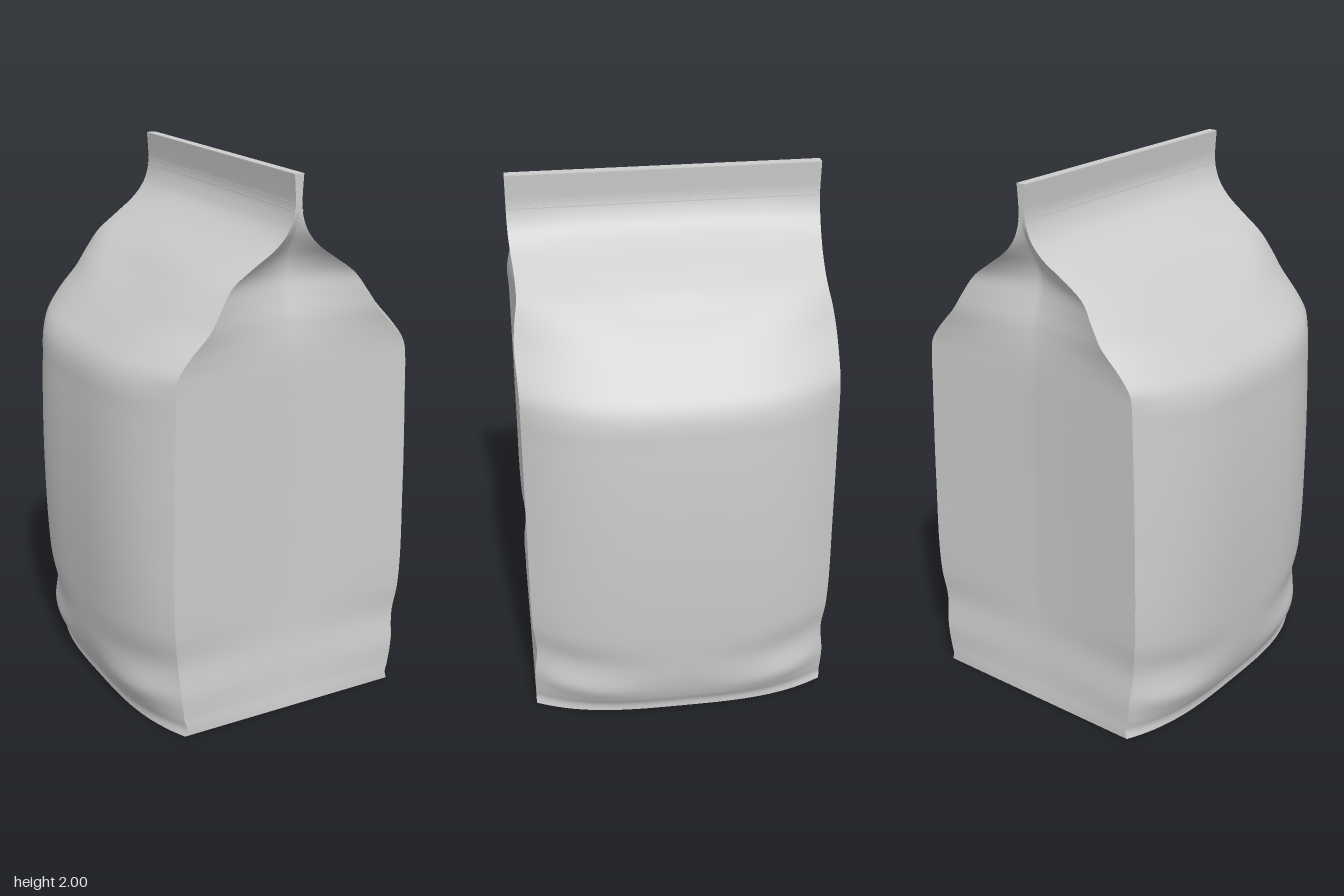
import * as THREE from 'three';

// Height, half width at mid side, half width at corners, half depth, gusset tuck
const PROFILE = [
  [0.00, 0.530, 0.440, 0.560, 0.000],
  [0.03, 0.532, 0.432, 0.561, 0.004],
  [0.06, 0.548, 0.440, 0.560, 0.007],
  [0.15, 0.574, 0.452, 0.561, 0.015],
  [0.28, 0.590, 0.460, 0.549, 0.016],
  [0.40, 0.600, 0.474, 0.559, 0.030],
  [0.80, 0.615, 0.475, 0.561, 0.034],
  [1.20, 0.604, 0.464, 0.560, 0.034],
  [1.31, 0.592, 0.460, 0.560, 0.035],
  [1.36, 0.568, 0.452, 0.560, 0.037],
  [1.42, 0.515, 0.410, 0.562, 0.044],
  [1.50, 0.442, 0.335, 0.565, 0.060],
  [1.57, 0.382, 0.290, 0.558, 0.072],
  [1.64, 0.303, 0.240, 0.546, 0.074],
  [1.70, 0.202, 0.158, 0.548, 0.066],
  [1.75, 0.118, 0.087, 0.555, 0.048],
  [1.80, 0.054, 0.042, 0.559, 0.022],
  [1.85, 0.024, 0.020, 0.560, 0.005],
  [1.89, 0.013, 0.013, 0.560, 0.000],
  [1.94, 0.014, 0.014, 0.560, 0.000],
  [2.00, 0.018, 0.018, 0.560, 0.000],
];
const ROWS = 140, COLS = 40;
const curve = new THREE.CubicInterpolant(
  PROFILE.map(p => p[0]), PROFILE.flatMap(p => p.slice(1)), 4, new Float32Array(4));
const bell = (v, centre, width) => Math.exp(-(((v - centre) / width) ** 2));

// Bulging side panel with a sagging shoulder and soft creases near the base corners
function sidePoint(u, y) {
  const [w, c, d] = curve.evaluate(y);
  const fade = 1 - u * u;
  let x = c + (w - c) * (1 - Math.abs(u) ** 3.2);
  x -= 0.026 * fade * fade * bell(y, 1.6 + 0.15 * u * u, 0.08);
  x += 0.05 * fade * u * u * bell(y, 0.11 + 0.05 * u * u, 0.05);
  x -= 0.04 * fade * u * u * bell(y, 0.24 + 0.04 * u * u, 0.07);
  return [x, y, -u * d];
}

// End gusset, creased down the middle and tucked inward under the seal
function gussetPoint(u, y) {
  const [, c, d, tuck] = curve.evaluate(y);
  return [u * c, y, d - tuck * (1 - Math.abs(u) ** 1.2)];
}

function panel(name, pointAt, turn, material) {
  const pos = [], index = [];
  for (let i = 0; i <= ROWS; i++) {
    for (let j = 0; j <= COLS; j++) pos.push(...pointAt(-1 + 2 * j / COLS, 2 * i / ROWS));
  }
  for (let i = 0; i < ROWS; i++) {
    for (let j = 0; j < COLS; j++) {
      const a = i * (COLS + 1) + j, b = a + 1, c = a + COLS + 1, d = c + 1;
      index.push(a, b, c, b, d, c);
    }
  }
  const geo = new THREE.BufferGeometry();
  geo.setAttribute('position', new THREE.Float32BufferAttribute(pos, 3));
  geo.setIndex(index);
  geo.rotateY(turn);
  geo.computeVertexNormals();
  const mesh = new THREE.Mesh(geo, material);
  mesh.name = name;
  return mesh;
}

// Flat sheet filling the outline at the foot
function base(material) {
  const outline = [];
  for (const s of [1, -1]) {
    for (let j = 0; j <= COLS; j++) {
      const [x, , z] = sidePoint(-1 + 2 * j / COLS, 0);
      outline.push(new THREE.Vector2(s * x, s * z));
    }
  }
  const mesh = new THREE.Mesh(new THREE.ShapeGeometry(new THREE.Shape(outline)).rotateX(Math.PI / 2), material);
  mesh.name = 'base';
  return mesh;
}

export function createModel() {
  const bag = new THREE.Group();
  bag.name = 'gussetedBag';
  const foil = new THREE.MeshStandardMaterial({ color: 0xcccccc, side: THREE.DoubleSide });
  foil.name = 'greyFoil';

  bag.add(
    panel('leftPanel', sidePoint, 0, foil),
    panel('rightPanel', sidePoint, Math.PI, foil),
    panel('frontGusset', gussetPoint, 0, foil),
    panel('backGusset', gussetPoint, Math.PI, foil),
    base(foil),
  );

  // Closed top edge of the seal and its two pressed lines
  const strip = (name, width, height, y) => {
    const mesh = new THREE.Mesh(new THREE.BoxGeometry(width, height, 1.12), foil);
    mesh.name = name;
    mesh.position.y = y;
    bag.add(mesh);
  };
  strip('sealEdge', 0.036, 0.004, 1.998);
  strip('sealLineUpper', 0.028, 0.004, 1.9);
  strip('sealLineLower', 0.034, 0.004, 1.877);
  return bag;
}
